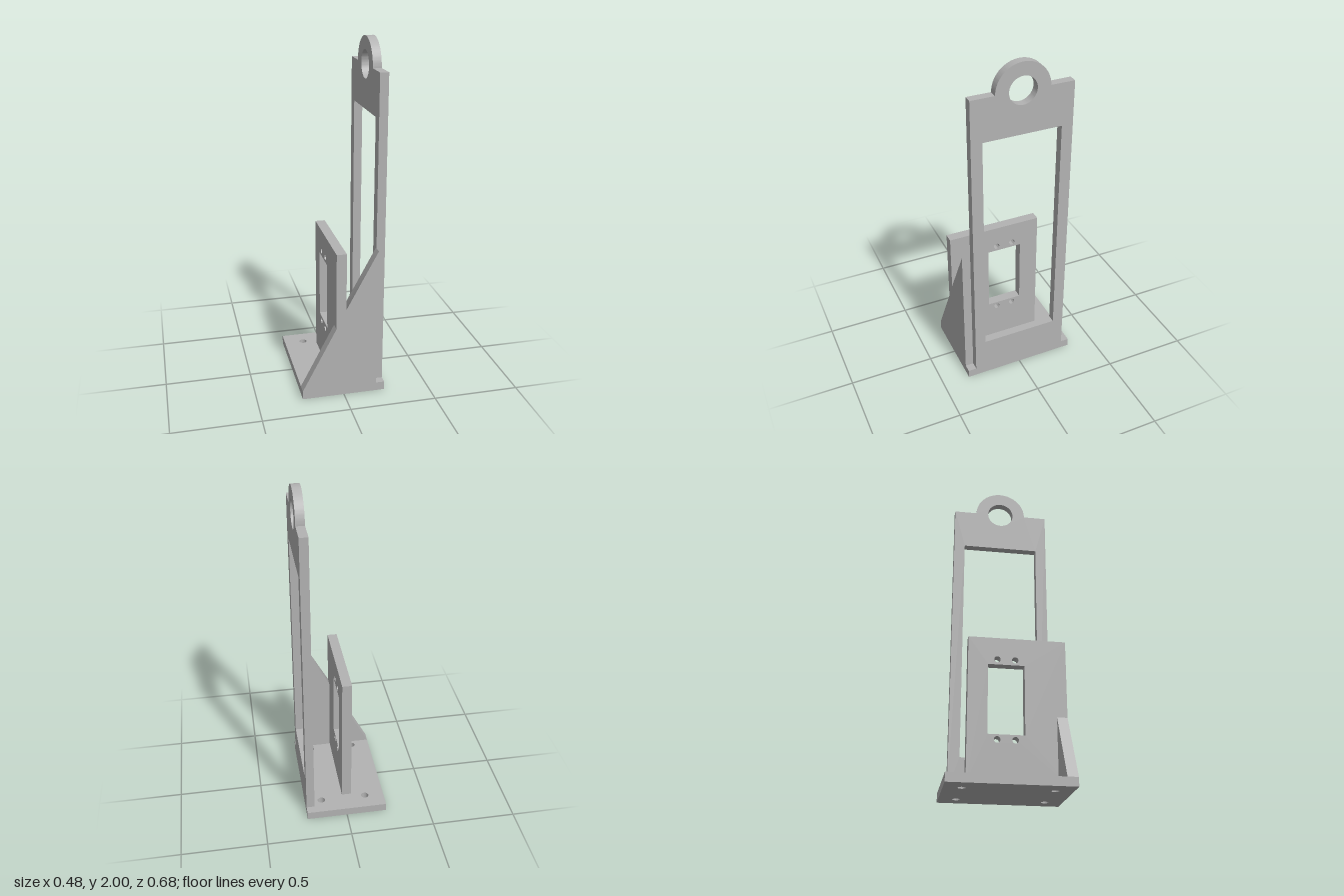
import * as THREE from 'three';
import { toCreasedNormals } from 'three/addons/utils/BufferGeometryUtils.js';

const BASE_TOP = 0.05;

function polygon(points) {
  return new THREE.Shape(points.map(([u, v]) => new THREE.Vector2(u, v)));
}

function rect(u0, v0, u1, v1) {
  return polygon([[u0, v0], [u1, v0], [u1, v1], [u0, v1]]);
}

function circle(u, v, r) {
  return new THREE.Path().absarc(u, v, r, 0, Math.PI * 2, true);
}

function extrude(shape, depth) {
  return new THREE.ExtrudeGeometry(shape, { depth, bevelEnabled: false, curveSegments: 32 });
}

export function createModel() {
  const group = new THREE.Group();
  const grey = new THREE.MeshStandardMaterial({ color: 0xb3b3b3 });
  grey.name = 'grey';

  const add = (name, geometry) => {
    const mesh = new THREE.Mesh(toCreasedNormals(geometry, 0.6), grey);
    mesh.name = name;
    group.add(mesh);
  };
  // Upright plate: shape drawn in (-z, y), thickness from x0 to x1
  const addUpright = (name, shape, x0, x1) =>
    add(name, extrude(shape, x1 - x0).rotateY(Math.PI / 2).translate(x0, 0, 0));

  // Base plate with four mounting holes
  const base = rect(-0.242, -0.339, 0.242, 0.339);
  for (const x of [-0.127, 0.145])
    for (const z of [-0.242, 0.242]) base.holes.push(circle(x, z, 0.022));
  add('basePlate', extrude(base, BASE_TOP).rotateX(Math.PI / 2).translate(0, BASE_TOP, 0));

  // Tall frame with a rounded hanging eye on top
  const shoulder = 1.846;
  const frame = new THREE.Shape();
  frame.moveTo(-0.29, BASE_TOP);
  frame.lineTo(0.29, BASE_TOP);
  frame.lineTo(0.29, shoulder);
  frame.lineTo(0.154, shoulder);
  frame.absarc(0, shoulder, 0.154, 0, Math.PI, false);
  frame.lineTo(-0.29, shoulder);
  frame.closePath();
  frame.holes.push(rect(-0.225, 0.245, 0.225, 1.6), circle(0, shoulder, 0.079));
  addUpright('tallFrame', frame, 0.193, 0.242);

  // Shorter mounting plate with a window and four screw holes
  const mount = rect(-0.339, BASE_TOP, 0.215, 0.875);
  mount.holes.push(rect(-0.103, 0.314, 0.103, 0.715));
  for (const u of [-0.05, 0.05])
    for (const y of [0.285, 0.746]) mount.holes.push(circle(u, y, 0.018));
  addUpright('mountingPlate', mount, -0.045, 0.012);

  // Sloping gussets on either side of the mounting plate
  const gussets = {
    outerGusset: [[-0.242, BASE_TOP], [-0.045, BASE_TOP], [-0.045, 0.425]],
    innerGusset: [[0.012, BASE_TOP], [0.193, BASE_TOP], [0.193, 0.875], [0.012, 0.54]],
  };
  for (const [name, points] of Object.entries(gussets))
    add(name, extrude(polygon(points), 0.059).translate(0, 0, 0.28));

  return group;
}
